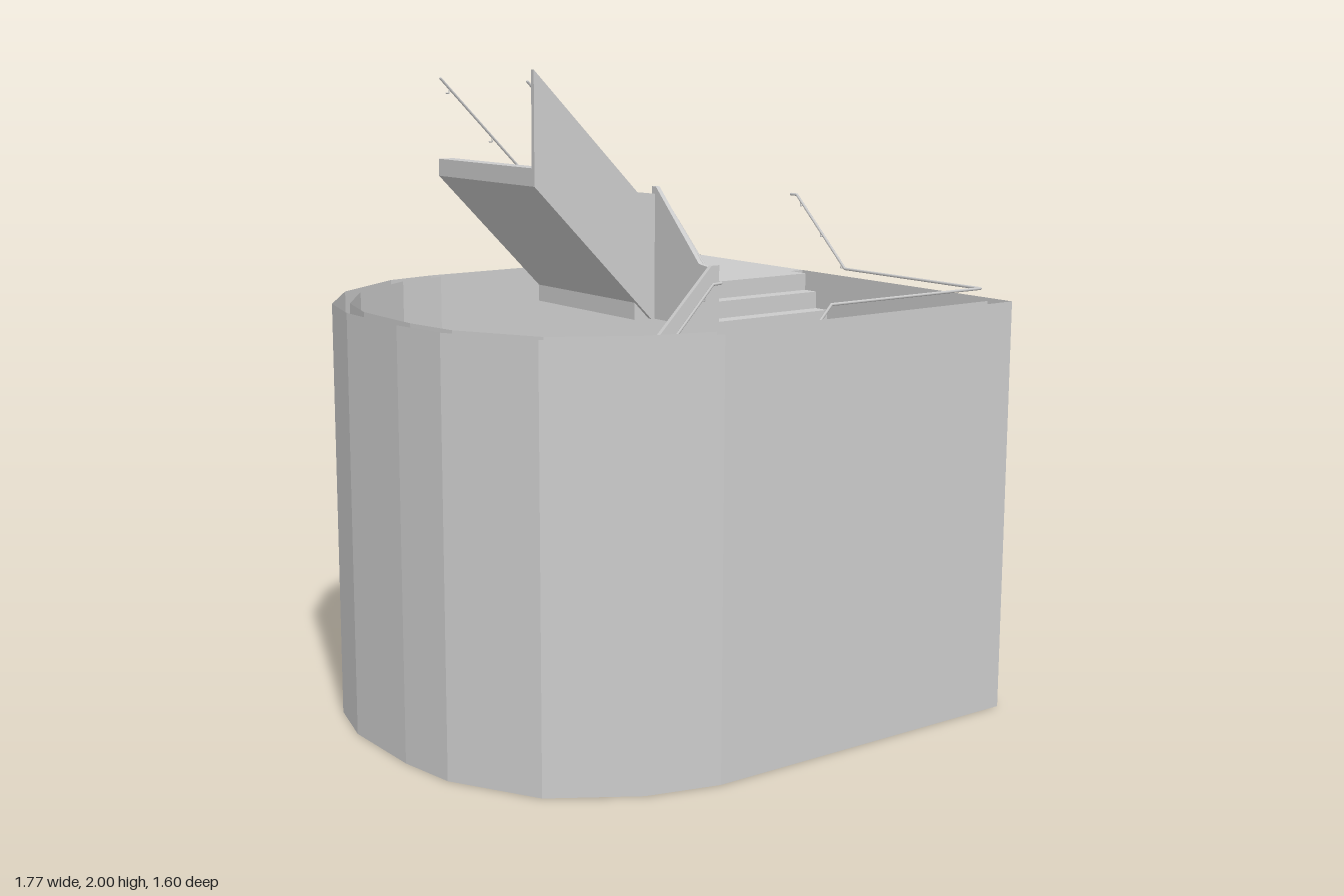
import * as THREE from 'three';

const H = 1.303, R = H / 23, T = 0.0565, SLAB = 2 * R;

export function createModel() {
  const model = new THREE.Group();
  const mat = new THREE.MeshStandardMaterial({ color: 0xcccccc, flatShading: true });
  const wallMat = new THREE.MeshStandardMaterial({ color: 0xcccccc, flatShading: true, side: THREE.DoubleSide });
  const railMat = new THREE.MeshStandardMaterial({ color: 0xcccccc });

  const add = (name, geo, parent = model, material = mat) => {
    const mesh = new THREE.Mesh(geo, material);
    mesh.name = name;
    parent.add(mesh);
    return mesh;
  };
  const extrude = (pts, depth) => new THREE.ExtrudeGeometry(
    new THREE.Shape(pts.map(p => new THREE.Vector2(p[0], p[1]))), { depth, bevelEnabled: false });

  // Surface from four-cornered faces
  const faces = quads => {
    const pos = [];
    for (const [a, b, c, d] of quads) pos.push(...a, ...b, ...c, ...a, ...c, ...d);
    const geo = new THREE.BufferGeometry();
    geo.setAttribute('position', new THREE.Float32BufferAttribute(pos, 3));
    geo.computeVertexNormals();
    return geo;
  };
  // Vertical faces along a plan path of [x, z]
  const ribbon = (path, y0, y1) => path.slice(1).map((b, i) => {
    const a = path[i];
    return [[a[0], y0, a[1]], [b[0], y0, b[1]], [b[0], y1, b[1]], [a[0], y1, a[1]]];
  });

  // Enclosing double wall, open at top and bottom: straight on three sides,
  // faceted curve on the fourth
  const X = 0.885, XI = 0.83, D0 = -0.18, D1 = -0.75, DOOR = 0.72;
  const outer = [[X, D0], [X, 0.8], [-0.24, 0.8], [-0.465, 0.74], [-0.71, 0.585], [-0.86, 0.32], [-0.89, 0.13],
    [-0.89, -0.17], [-0.835, -0.37], [-0.67, -0.6], [-0.41, -0.77], [-0.24, -0.8], [X, -0.8], [X, D1]];
  const inner = [[XI, D0], [XI, 0.75], [-0.23, 0.75], [-0.44, 0.69], [-0.67, 0.55], [-0.81, 0.3], [-0.84, 0.12],
    [-0.84, -0.155], [-0.787, -0.345], [-0.636, -0.56], [-0.395, -0.715], [-0.23, -0.75], [XI, D1]];
  add('outerWall', faces([
    ...ribbon([...outer].reverse(), 0, H),
    ...ribbon([[X, D0], [X, D1]], DOOR, H)]), model, wallMat);
  add('innerWall', faces([
    ...ribbon(inner, 0, H),
    ...ribbon([[XI, D1], [XI, D0]], DOOR, H)]), model, wallMat);
  add('doorFrame', faces([
    ...ribbon([[X, D0], [XI, D0]], 0, DOOR),
    ...ribbon([[XI, D1], [X, D1]], 0, DOOR),
    [[XI, DOOR, D1], [X, DOOR, D1], [X, DOOR, D0], [XI, DOOR, D0]]]), model, wallMat);

  // Landings, each given by its plan outline and its height in risers
  const landing = (name, plan, risers) => {
    const geo = extrude(plan.map(([x, z]) => [x, -z]), SLAB);
    geo.rotateX(-Math.PI / 2).translate(0, risers * R - SLAB, 0);
    add(name, geo);
  };
  landing('backLeftLanding', [...inner.slice(7, 12), [-0.23, -0.18], [-0.26, -0.18], [-0.26, -0.1], [-0.84, -0.1]], 8);
  landing('frontLeftLanding', [...inner.slice(2, 7), [-0.84, 0.07], [-0.26, 0.07], [-0.26, 0.155], [-0.175, 0.155], [-0.175, 0.75]], 12);
  landing('frontRightLanding', [[0.165, 0.75], [XI, 0.75], [XI, 0.07], [0.25, 0.07], [0.25, 0.155], [0.165, 0.155]], 19);
  landing('topLanding', [[0.165, D1], [X, D1], [X, D0], [XI, D0], [XI, -0.1], [0.25, -0.1], [0.25, D0], [0.165, D0]], 23);

  // Flights with sloped soffits and a solid balustrade on the well side.
  // Local x is the run, y is up, z points away from the well.
  const flight = ({ name, at, turn, base, risers, treads, width, from, to, climb }) => {
    const g = new THREE.Group();
    g.name = name;
    g.position.set(at[0], 0, at[1]);
    g.rotation.y = turn;
    model.add(g);
    const y0 = base * R, y1 = y0 + risers * R, end = treads * T;
    const low = y0 === 0;
    const steps = [];
    for (let i = 0; i < treads; i++) steps.push([i * T, y0 + i * R], [i * T, y0 + (i + 1) * R]);
    steps.push([end, y0 + treads * R], [end, y0 + (treads - 1) * R]);
    steps.push(low ? [T, 0] : [0, y0 - R]);
    add('steps', extrude(steps, width), g);

    const open = treads === risers;
    const top = y1 + (open ? 0.303 : 0.32);
    const panel = [[from, top - climb - 0.01], [0, top - climb], [climb, top]];
    if (open) panel.push([end, y1 - R]);
    else panel.push([to, top], [to, y1 - SLAB], [end, y1 - SLAB]);
    if (low) panel.push([T, 0], [from, 0]);
    else panel.push([-T, y0 - SLAB], [from, y0 - SLAB]);
    add('balustrade', extrude(panel, 0.015), g);
  };
  const back = { at: [0.165, -0.165], turn: Math.PI, width: 0.585, from: -0.085, to: 0.425, climb: 0.395 };
  const side = { risers: 4, treads: 3, from: -0.085, to: 0.25, climb: 0.23 };
  flight({ ...back, name: 'lowerBackFlight', base: 0, risers: 8, treads: 7 });
  flight({ ...side, name: 'leftFlight', at: [-0.245, -0.1], turn: -Math.PI / 2, base: 8, width: 0.595 });
  flight({ ...back, name: 'frontFlight', at: [-0.175, 0.14], turn: 0, width: 0.61, base: 12, risers: 7, treads: 6 });
  flight({ ...side, name: 'rightFlight', at: [0.235, 0.07], turn: Math.PI / 2, base: 19, width: 0.595 });
  flight({ ...back, name: 'upperBackFlight', base: 23, risers: 7, treads: 7 });

  // Handrails from straight bars with rounded joints
  const RAIL = 0.0045;
  const bar = (a, b, r, parent, name) => {
    const dir = b.clone().sub(a);
    const m = add(name, new THREE.CylinderGeometry(r, r, dir.length(), 8), parent, railMat);
    m.position.copy(a).add(b).multiplyScalar(0.5);
    m.quaternion.setFromUnitVectors(new THREE.Vector3(0, 1, 0), dir.normalize());
  };
  // reach is the sideways distance from rail to its wall; negative turns inward
  const rail = (name, pts, reach) => {
    const g = new THREE.Group();
    g.name = name;
    model.add(g);
    const v = pts.map(p => new THREE.Vector3(...p));
    v.forEach((p, i) => {
      add('joint', new THREE.SphereGeometry(RAIL, 8, 6), g, railMat).position.copy(p);
      if (!i) return;
      const q = v[i - 1];
      bar(q, p, RAIL, g, 'bar');
      if (p.y - q.y < 0.1) return;
      // Brackets on the sloping bars
      const alongX = Math.abs(p.x - q.x) > Math.abs(p.z - q.z);
      for (const t of [0.08, 0.5, 0.92]) {
        const a = q.clone().lerp(p, t), b = a.clone(), c = a.clone();
        b.y -= 0.018;
        c.y -= 0.018;
        if (alongX) c.z += Math.sign(a.z) * reach;
        else c.x += Math.sign(a.x) * reach;
        bar(a, b, 0.002, g, 'bracket');
        bar(b, c, 0.002, g, 'bracket');
      }
    });
  };
  rail('innerHandrail', [[0.27, 0.325, -0.2], [0.165, 0.325, -0.2], [-0.23, 0.72, -0.2], [-0.26, 0.72, -0.19],
    [-0.275, 0.72, -0.16], [-0.275, 0.72, -0.11], [-0.275, 0.94, 0.11], [-0.275, 0.94, 0.14], [-0.26, 0.94, 0.165],
    [-0.23, 0.94, 0.175], [-0.175, 0.94, 0.175], [0.21, 1.34, 0.175], [0.25, 1.34, 0.165], [0.265, 1.34, 0.14],
    [0.265, 1.34, 0.11], [0.265, 1.57, -0.14], [0.265, 1.57, -0.17], [0.25, 1.57, -0.19], [0.22, 1.57, -0.2],
    [0.165, 1.57, -0.2], [-0.23, 1.965, -0.2]], -0.022);
  rail('outerHandrail', [[0.25, 0.325, -0.745], [0.24, 0.325, -0.73], [0.165, 0.325, -0.73], [-0.23, 0.72, -0.73],
    [-0.387, 0.72, -0.695], [-0.62, 0.72, -0.548], [-0.77, 0.72, -0.338], [-0.82, 0.72, -0.152], [-0.82, 0.72, -0.11],
    [-0.82, 0.94, 0.115], [-0.79, 0.94, 0.29], [-0.656, 0.94, 0.535], [-0.433, 0.94, 0.67], [-0.23, 0.94, 0.728],
    [-0.175, 0.94, 0.728], [0.21, 1.34, 0.728], [0.82, 1.34, 0.728], [0.82, 1.34, 0.11], [0.82, 1.57, -0.14],
    [0.82, 1.57, -0.17]], 0.02);
  rail('upperHandrail', [[0.27, 1.57, -0.745], [0.255, 1.57, -0.73], [0.165, 1.57, -0.73], [-0.23, 1.965, -0.73]], 0.02);

  return model;
}
